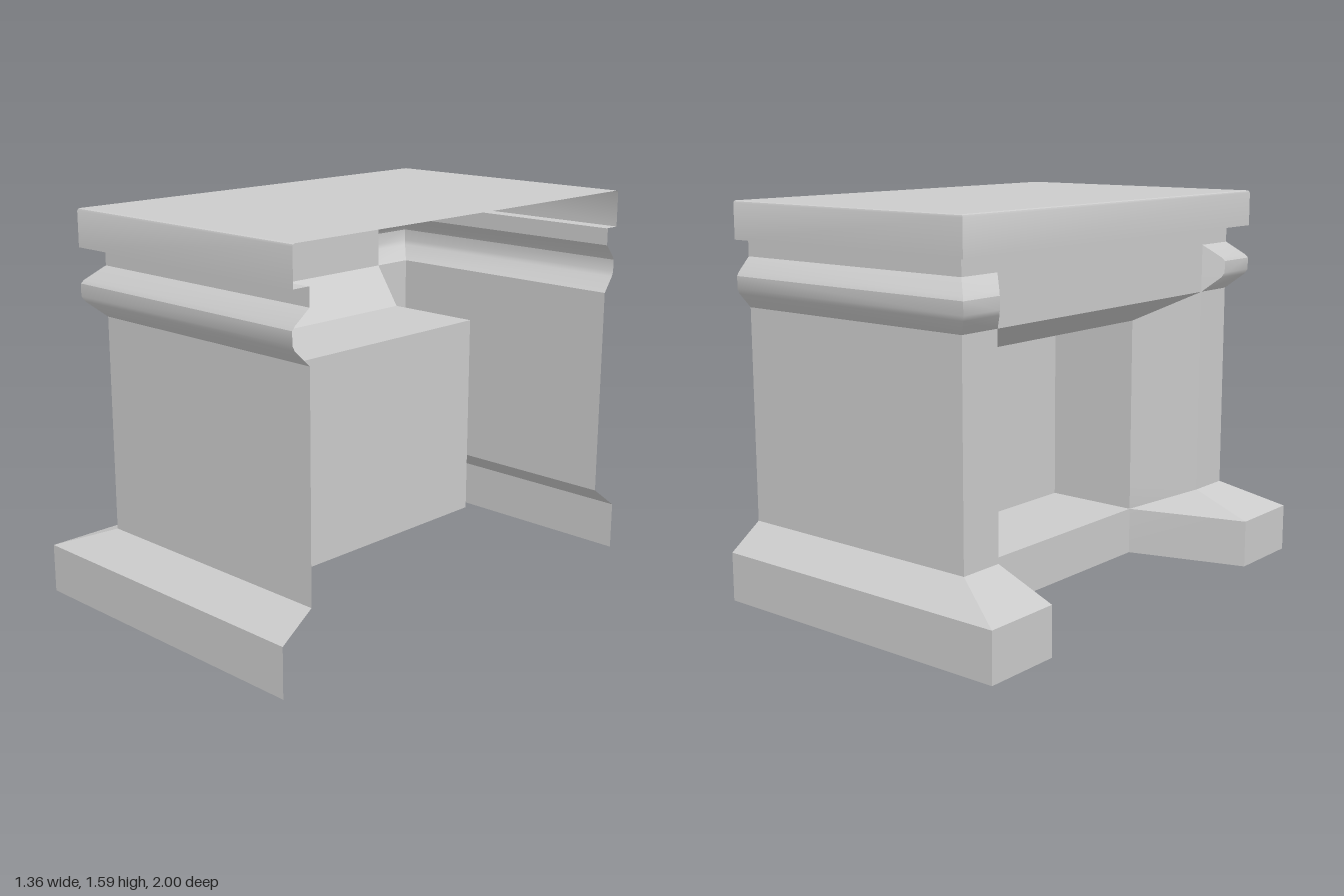
import * as THREE from 'three';
import { toCreasedNormals } from 'three/addons/utils/BufferGeometryUtils.js';

const material = new THREE.MeshStandardMaterial({ color: 0xcccccc, side: THREE.DoubleSide });

// Skin between rows of [x, y, z] points, listed from bottom to top
function loft(name, rows, flip = false) {
  const pos = [];
  for (let i = 0; i < rows.length - 1; i++) {
    for (let j = 0; j < rows[i].length - 1; j++) {
      const a = rows[i][j], b = rows[i][j + 1], c = rows[i + 1][j + 1], d = rows[i + 1][j];
      const tris = flip ? [a, b, d, d, b, c] : [b, a, d, b, d, c];
      tris.forEach((p) => pos.push(...p));
    }
  }
  const geo = new THREE.BufferGeometry();
  geo.setAttribute('position', new THREE.Float32BufferAttribute(pos, 3));
  const mesh = new THREE.Mesh(toCreasedNormals(geo, 0.5), material);
  mesh.name = name;
  return mesh;
}

const FRONT = -0.43, BACK = 0.68, SIDE = 0.86, INNER = 0.67; // shaft faces
const BOX_FRONT = -0.18, BOX_BACK = 0.24, BOX_Z = 0.52, BOX_FLOOR = 0.2, BOX_TOP = 1.04;

// One pier: plinth, shaft, moulding and the splayed cheek beside the opening
function pier(s) {
  const group = new THREE.Group();
  group.name = s > 0 ? 'leftPier' : 'rightPier';
  const flip = s < 0;
  // Horizontal outline, pushed out by ox to the front and oz to the side
  const outline = (ox, oz, y) => [
    [BACK, y, s * (SIDE + oz)],
    [FRONT - ox, y, s * (SIDE + oz)],
    [FRONT - ox, y, s * INNER],
  ];
  group.add(loft('plinth', [outline(0.25, 0.14, 0), outline(0.25, 0.14, 0.2), outline(0, 0, 0.3)], flip));
  group.add(loft('shaft', [outline(0, 0, 0.3), outline(0, 0, 1.17)], flip));

  // Moulding with a mitred return at its inner end
  const profile = [[0, 1.17], [0.06, 1.23], [0.07, 1.25], [0.07, 1.3], [0.06, 1.315], [0, 1.37]];
  group.add(loft('moulding', profile.map(([o, y]) => [
    [BACK - o * 0.15, y, s * (SIDE + o)],
    [FRONT - o, y, s * (SIDE + o)],
    [FRONT - o, y, s * (INNER + o)],
    [FRONT, y, s * INNER],
  ]), flip));

  // Cheek narrowing from the pier to the firebox
  const cheek = [[-0.68, 0, 0], [-0.68, 0.2, 0.2], [FRONT, 0.3, 0.3], [FRONT, 1.17, BOX_TOP]];
  group.add(loft('cheek', cheek.map(([x, y, yBox]) => [
    [x, y, s * INNER],
    [BOX_FRONT, yBox, s * BOX_Z],
  ]), flip));
  return group;
}

// Straight edge across the width, from +z to -z
const across = (x, y, z) => [[x, y, z], [x, y, -z]];

export function createModel() {
  const model = new THREE.Group();
  model.name = 'fireplace';
  model.add(pier(1), pier(-1));

  // Firebox: walls, raised hearth and ceiling
  const firebox = new THREE.Group();
  firebox.name = 'firebox';
  const walls = (y) => [
    [BOX_FRONT, y, BOX_Z], [BOX_BACK, y, BOX_Z], [BOX_BACK, y, -BOX_Z], [BOX_FRONT, y, -BOX_Z],
  ];
  firebox.add(loft('fireboxWalls', [walls(BOX_FLOOR), walls(BOX_TOP)]));
  firebox.add(loft('hearth', [
    across(BOX_FRONT, 0, BOX_Z), across(BOX_FRONT, BOX_FLOOR, BOX_Z), across(BOX_BACK, BOX_FLOOR, BOX_Z),
  ]));
  firebox.add(loft('fireboxCeiling', [across(BOX_BACK, BOX_TOP, BOX_Z), across(BOX_FRONT, BOX_TOP, BOX_Z)]));
  model.add(firebox);

  // Lintel: sloping soffit and face between the mouldings
  model.add(loft('lintel', [
    across(BOX_FRONT, BOX_TOP, BOX_Z), across(FRONT, 1.17, INNER), across(FRONT, 1.37, INNER),
  ]));

  // Frieze and overhanging mantel shelf, open at the wall side
  const band = (o, y, back) => [
    [back, y, SIDE + o], [FRONT - o, y, SIDE + o], [FRONT - o, y, -SIDE - o], [back, y, -SIDE - o],
  ];
  model.add(loft('frieze', [band(0, 1.37, BACK), band(0, 1.44, BACK)]));
  const rim = [[0, 1.44], [0.07, 1.44], [0.07, 1.58], [0.067, 1.587], [0.06, 1.59]];
  model.add(loft('shelfRim', rim.map(([o, y]) => band(o, y, 0.675))));
  model.add(loft('shelfTop', [across(FRONT - 0.06, 1.59, SIDE + 0.06), across(0.675, 1.59, SIDE + 0.06)]));
  return model;
}
